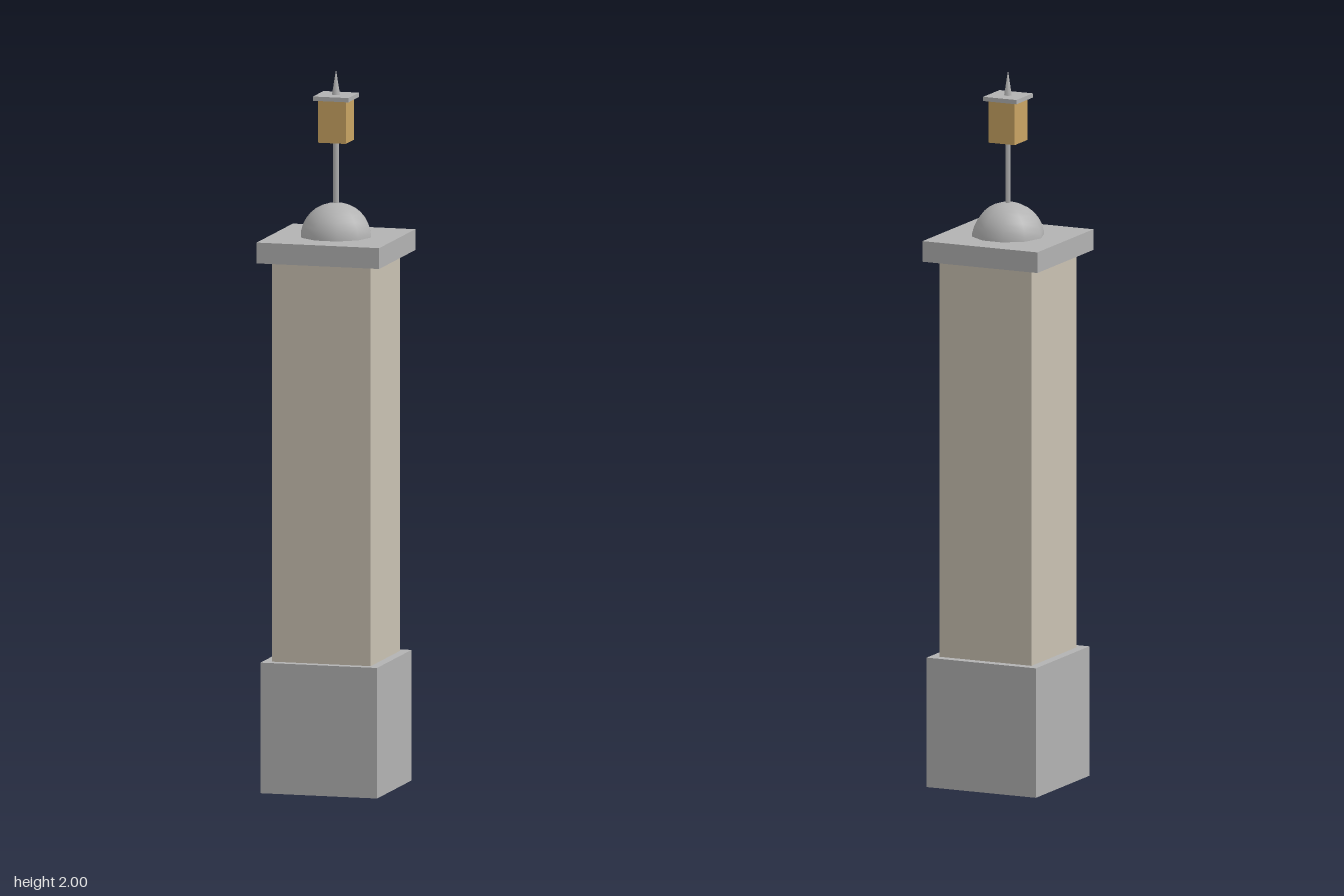
import * as THREE from 'three';

export function createModel() {
  const model = new THREE.Group();
  const mat = (name, color) => Object.assign(new THREE.MeshStandardMaterial({ color }), { name });
  const stone = mat('grey stone', 0xb2b2b2);
  const plaster = mat('pale plaster', 0xc9c1b2);
  const amber = mat('amber glass', 0xc9a463);

  const add = (name, geometry, material, y) => {
    const mesh = new THREE.Mesh(geometry, material);
    mesh.name = name;
    mesh.position.y = y;
    model.add(mesh);
    return mesh;
  };
  // Square block spanning y0 to y1
  const block = (name, width, y0, y1, material) =>
    add(name, new THREE.BoxGeometry(width, y1 - y0, width), material, (y0 + y1) / 2);

  // Pillar
  block('base', 0.335, 0, 0.364, stone);
  block('shaft', 0.283, 0.364, 1.478, plaster);
  block('cap', 0.352, 1.478, 1.536, stone);

  // Ten-sided dome, its rim sunk slightly into the cap
  add('dome', new THREE.SphereGeometry(0.102, 10, 8, 0, Math.PI * 2, 0, Math.PI / 2), stone, 1.527);

  // Lantern on its pole
  const pole = new THREE.CylinderGeometry(0.008, 0.008, 0.2, 6);
  pole.rotateY(Math.PI / 6);
  add('pole', pole, stone, 1.71);
  block('lantern', 0.08, 1.8, 1.918, amber);
  block('lanternRoof', 0.102, 1.918, 1.93, stone);

  // Six-sided finial
  const spike = new THREE.ConeGeometry(0.0125, 0.075, 6);
  spike.rotateY(Math.PI / 6);
  add('finial', spike, stone, 1.9625);

  return model;
}
